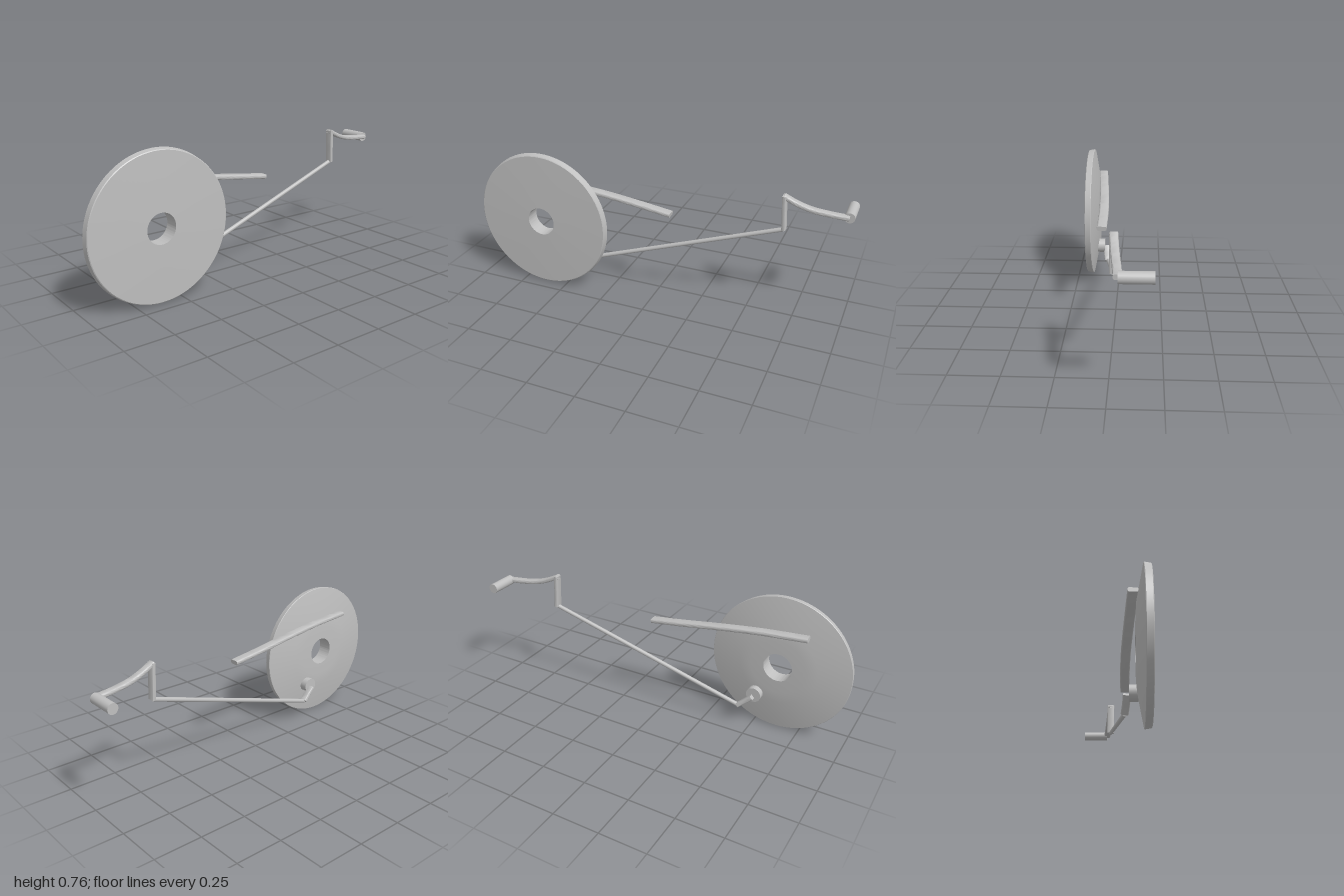
import * as THREE from 'three';
import { toCreasedNormals } from 'three/addons/utils/BufferGeometryUtils.js';

const V = (x, y, z) => new THREE.Vector3(x, y, z);

// Rounded-rectangle outline: w runs along z, h runs across the bar
function section(w, h, r, n = 4) {
  const pts = [];
  [[1, 1], [-1, 1], [-1, -1], [1, -1]].forEach(([sx, sy], q) => {
    for (let i = 0; i <= n; i++) {
      const a = (q + i / n) * Math.PI / 2;
      pts.push([sx * (w / 2 - r) + r * Math.cos(a), sy * (h / 2 - r) + r * Math.sin(a)]);
    }
  });
  return pts;
}

// Sweep an outline along a path, keeping its wide side facing z, with capped ends
function sweep(points, outline, steps) {
  const curve = new THREE.CatmullRomCurve3(points);
  const pos = [], idx = [], n = outline.length;
  for (let i = 0; i <= steps; i++) {
    const p = curve.getPoint(i / steps), t = curve.getTangent(i / steps);
    const side = V(0, 0, 1).addScaledVector(t, -t.z).normalize();
    const up = side.clone().cross(t).negate();
    for (const [a, b] of outline) {
      const q = p.clone().addScaledVector(side, a).addScaledVector(up, b);
      pos.push(q.x, q.y, q.z);
    }
  }
  for (let i = 0; i < steps; i++) for (let j = 0; j < n; j++) {
    const a = i * n + j, b = i * n + (j + 1) % n;
    idx.push(a, b + n, b, a, a + n, b + n);
  }
  for (let j = 1; j < n - 1; j++) {
    const e = steps * n;
    idx.push(0, j, j + 1, e, e + j + 1, e + j);
  }
  // Orientation: side x up = -tangent would invert the skin, so check and flip once
  const t0 = curve.getTangent(0);
  const s0 = V(0, 0, 1).addScaledVector(t0, -t0.z).normalize();
  const u0 = s0.clone().cross(t0).negate();
  const flip = s0.clone().cross(u0).dot(t0) < 0 ? false : true;
  if (flip) for (let k = 0; k < idx.length; k += 3) [idx[k + 1], idx[k + 2]] = [idx[k + 2], idx[k + 1]];
  const g = new THREE.BufferGeometry();
  g.setAttribute('position', new THREE.Float32BufferAttribute(pos, 3));
  g.setIndex(idx);
  return toCreasedNormals(g, 0.7);
}

export function createModel() {
  const group = new THREE.Group();
  const steel = new THREE.MeshStandardMaterial({ color: 0xbfbfbf });
  steel.name = 'light grey';
  const add = (name, geometry) => {
    const mesh = new THREE.Mesh(geometry, steel);
    mesh.name = name;
    group.add(mesh);
    return mesh;
  };
  const rodBetween = (name, a, b, r) => {
    const mesh = add(name, new THREE.CylinderGeometry(r, r, a.distanceTo(b), 20));
    mesh.position.copy(a).lerp(b, 0.5);
    mesh.quaternion.setFromUnitVectors(V(0, 1, 0), b.clone().sub(a).normalize());
    return mesh;
  };

  // Disc with a centre hole, conical back and slightly domed front
  const profile = [
    [0.078, 0.118], [0.15, 0.119], [0.21, 0.123], [0.379, 0.155], [0.381, 0.158],
    [0.376, 0.188], [0.372, 0.191], [0.24, 0.195], [0.078, 0.198], [0.078, 0.118],
  ].map(([r, z]) => new THREE.Vector2(r, z));
  const disc = add('disc', toCreasedNormals(new THREE.LatheGeometry(profile, 96).rotateX(Math.PI / 2), 0.5));
  disc.position.set(-0.62, 0.381, 0);

  // Curved flat arm lying against the back of the disc
  add('upperArm', sweep([
    V(-0.77, 0.591, 0.108), V(-0.52, 0.577, 0.091), V(-0.28, 0.552, 0.076),
    V(-0.1, 0.527, 0.07), V(0.09, 0.501, 0.07),
  ], section(0.052, 0.024, 0.009), 32));

  // Pivot boss, its short link and the long connecting rod
  rodBetween('pivotBoss', V(-0.51, 0.196, 0.087), V(-0.51, 0.196, 0.13), 0.041);
  const rodEnd = V(-0.435, 0.124, 0.066);
  add('pivotLink', sweep([V(-0.51, 0.19, 0.077), V(-0.475, 0.159, 0.073), rodEnd],
    section(0.038, 0.024, 0.008), 8));
  rodBetween('connectingRod', rodEnd, V(0.66, 0.484, -0.02), 0.0115);

  // Upright lever and curved handle arm
  add('upright', sweep([V(0.664, 0.485, -0.021), V(0.659, 0.58, -0.02), V(0.655, 0.67, -0.019)],
    section(0.043, 0.02, 0.005), 4));
  add('handleArm', sweep([
    V(0.65, 0.667, -0.019), V(0.72, 0.634, -0.025), V(0.79, 0.612, -0.032),
    V(0.87, 0.6, -0.04), V(0.972, 0.592, -0.049),
  ], section(0.04, 0.024, 0.009), 24));

  // Round grip
  rodBetween('grip', V(0.972, 0.591, -0.05), V(0.972, 0.591, -0.2), 0.027);

  return group;
}
